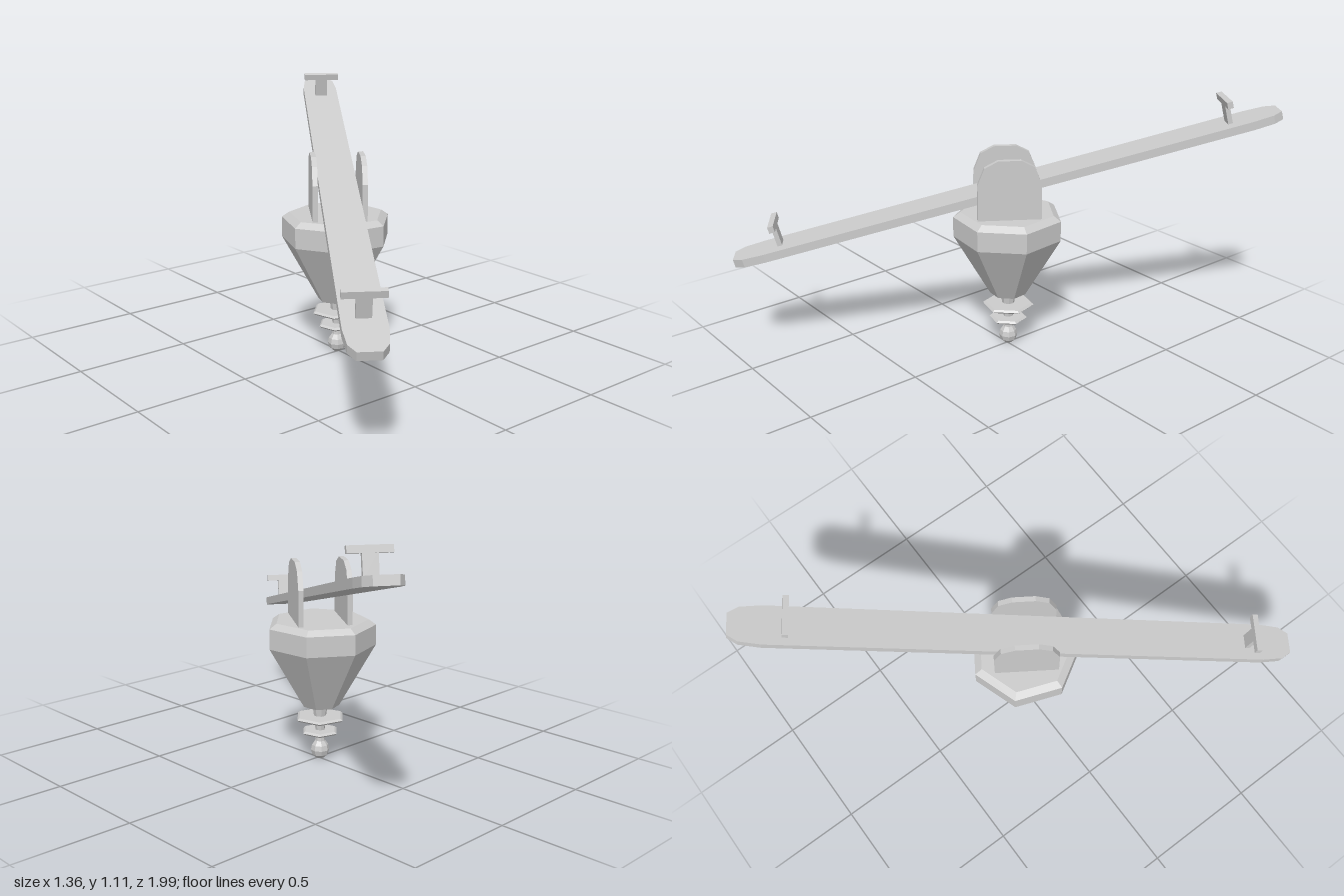
import * as THREE from 'three';

const material = new THREE.MeshStandardMaterial({ color: 0xcccccc, flatShading: true });

function add(parent, name, geometry, x = 0, y = 0, z = 0) {
  const mesh = new THREE.Mesh(geometry, material);
  mesh.name = name;
  mesh.position.set(x, y, z);
  parent.add(mesh);
  return mesh;
}

// Faceted turned solid from [radius, height] pairs, bottom to top
function turned(profile, sides, start) {
  const points = profile.map(([r, y]) => new THREE.Vector2(r, y));
  return new THREE.LatheGeometry(points, sides, start);
}

// Flat slab from an outline, centred on its thickness
function slab(outline, depth) {
  const shape = new THREE.Shape(outline.map(([x, y]) => new THREE.Vector2(x, y)));
  return new THREE.ExtrudeGeometry(shape, { depth, bevelEnabled: false }).translate(0, 0, -depth / 2);
}

export function createModel() {
  const model = new THREE.Group();
  model.name = 'seesaw';

  // Seven-sided tapering base with a chamfered rim
  add(model, 'base', turned([
    [0, 0.245], [0.08, 0.245], [0.237, 0.52], [0.237, 0.608], [0.205, 0.63], [0, 0.63],
  ], 7, 0.32), -0.006, 0, -0.01);

  // Thin stem ending in a ball
  add(model, 'stem', turned([
    [0, 0], [0.018, 0.002], [0.035, 0.018], [0.041, 0.04], [0.036, 0.062],
    [0.022, 0.082], [0.019, 0.11], [0.024, 0.17], [0.034, 0.25],
  ], 8, 0.2), -0.003, 0, -0.008);

  // Two six-sided discs with pointed rims
  for (const [name, r, y] of [['upperDisc', 0.113, 0.19], ['lowerDisc', 0.084, 0.125]]) {
    add(model, name, turned([
      [0, -0.008], [r - 0.01, -0.008], [r, 0], [r - 0.01, 0.008], [0, 0.008],
    ], 6, Math.PI / 12), -0.003, y, -0.008);
  }

  // Upper assembly, turned so its x axis runs along the plank
  const top = new THREE.Group();
  top.name = 'upperAssembly';
  top.rotation.y = 0.987;
  model.add(top);

  // Round-topped support plates either side of the plank
  const half = [[0.135, 0.6], [0.135, 0.785], [0.105, 0.86], [0.048, 0.89]];
  const plate = slab([...half, ...half.map(([x, y]) => [-x, y]).reverse()], 0.022);
  for (const side of [-1, 1]) {
    add(top, side < 0 ? 'backPlate' : 'frontPlate', plate, 0, 0, -0.006 + side * 0.104);
  }

  // Tilted plank with clipped ends
  const board = new THREE.Group();
  board.name = 'board';
  board.position.set(0, 0.743, -0.003);
  board.rotation.z = THREE.MathUtils.degToRad(14.1);
  top.add(board);
  const end = [[1.06, -0.082], [1.15, -0.072], [1.193, -0.045], [1.193, 0.045], [1.15, 0.072], [1.06, 0.082]];
  const plank = slab([...end, ...end.map(([x, y]) => [-x, -y])], 0.036).rotateX(-Math.PI / 2);
  add(board, 'plank', plank);

  // T-shaped handles
  for (const x of [-0.99, 0.975]) {
    const handle = new THREE.Group();
    handle.name = 'handle';
    handle.position.x = x;
    board.add(handle);
    add(handle, 'handlePost', new THREE.BoxGeometry(0.02, 0.1, 0.058), 0, 0.062, 0);
    add(handle, 'handleBar', new THREE.BoxGeometry(0.024, 0.028, 0.165), 0, 0.115, 0);
  }
  return model;
}
